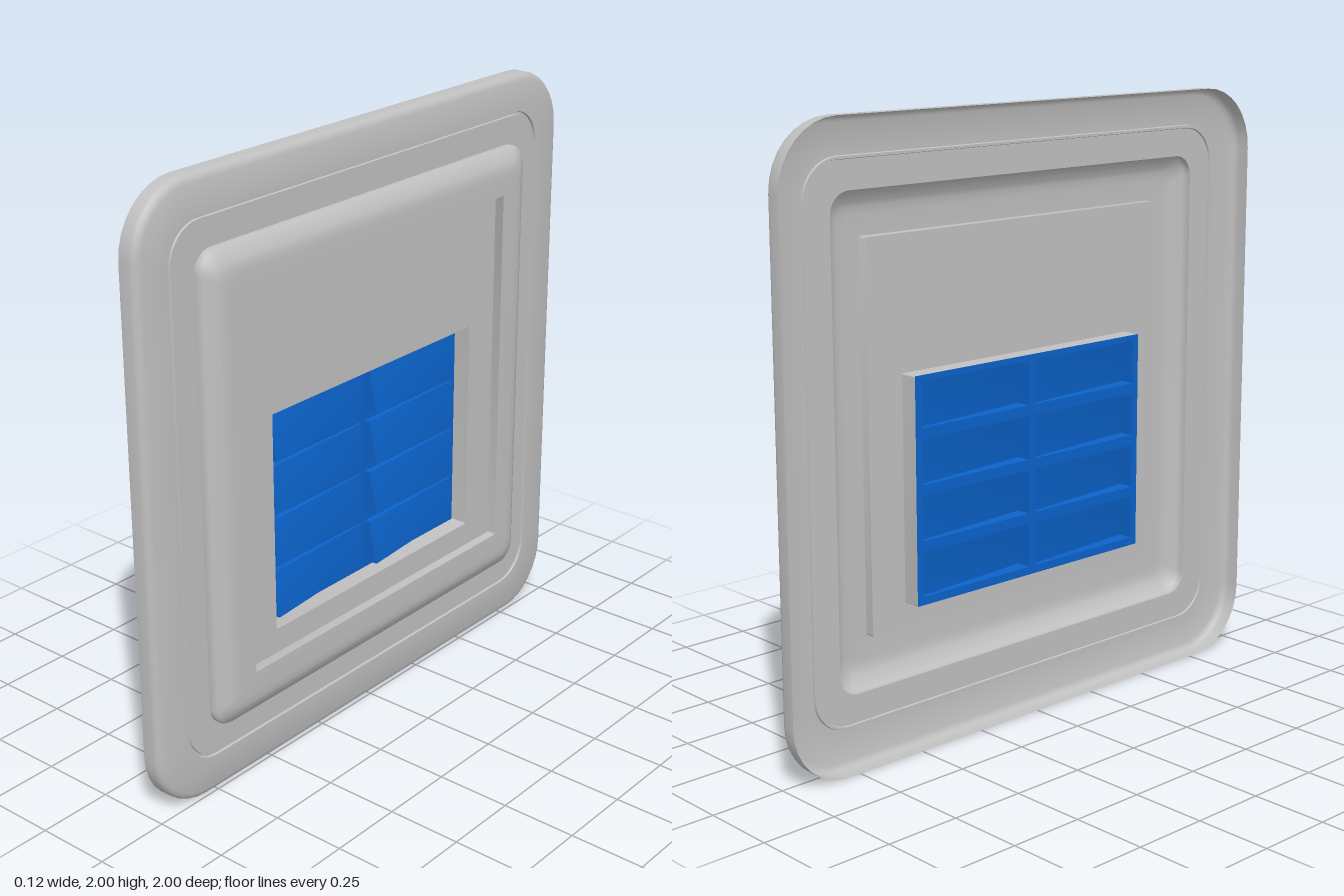
import * as THREE from 'three';
import { toCreasedNormals } from 'three/addons/utils/BufferGeometryUtils.js';

// Rounded rectangle in the plane x, counter-clockwise as seen from +x
function loop(halfZ, halfY, centreY, radius, x, steps = 8) {
  const points = [];
  for (let c = 0; c < 4; c++) {
    const su = c === 0 || c === 3 ? 1 : -1;
    const sv = c < 2 ? 1 : -1;
    for (let i = 0; i <= steps; i++) {
      const a = (c + i / steps) * Math.PI / 2;
      const u = su * (halfZ - radius) + radius * Math.cos(a);
      const v = sv * (halfY - radius) + radius * Math.sin(a);
      points.push(new THREE.Vector3(x, centreY + v, -u));
    }
  }
  return points;
}

// Sheet running through closed loops, from the outermost to the innermost
function loft(loops, cap = false) {
  const pos = [];
  const tri = (...pts) => pts.forEach((p) => pos.push(p.x, p.y, p.z));
  for (let k = 0; k < loops.length - 1; k++) {
    const a = loops[k], b = loops[k + 1], n = a.length;
    for (let i = 0; i < n; i++) {
      const j = (i + 1) % n;
      tri(a[i], a[j], b[j]);
      tri(a[i], b[j], b[i]);
    }
  }
  if (cap) {
    const e = loops[loops.length - 1];
    for (let i = 1; i < e.length - 1; i++) tri(e[0], e[i], e[i + 1]);
  }
  const geo = new THREE.BufferGeometry();
  geo.setAttribute('position', new THREE.Float32BufferAttribute(pos, 3));
  return toCreasedNormals(geo, 0.6);
}

export function createModel() {
  const grey = new THREE.MeshStandardMaterial({ color: 0xc0c0c0, side: THREE.DoubleSide });
  grey.name = 'panelGrey';
  const blue = new THREE.MeshStandardMaterial({ color: 0x0b63cb, side: THREE.DoubleSide });
  blue.name = 'louverBlue';

  const model = new THREE.Group();
  model.name = 'louveredPanel';
  const add = (parent, geo, mat, name) => {
    const mesh = new THREE.Mesh(geo, mat);
    mesh.name = name;
    parent.add(mesh);
    return mesh;
  };
  const square = (half, radius, x) => loop(half, half, 1.003, radius, x);
  const rim = (half, radius, x) => loop(half, half, 1, radius, x);

  // Outer flange with a rounded edge and a skirt open at the back
  add(model, loft([
    rim(1, 0.21, -0.063), rim(1, 0.21, -0.024), rim(0.997, 0.207, -0.014),
    rim(0.99, 0.2, -0.006), rim(0.976, 0.186, 0), square(0.876, 0.13, 0),
    square(0.874, 0.128, -0.008), square(0.866, 0.12, -0.008),
    square(0.864, 0.118, -0.002), square(0.773, 0.07, -0.002),
  ]), grey, 'outerFlange');

  // Raised centre with a bevelled, softened edge
  add(model, loft([
    square(0.773, 0.07, -0.002), square(0.773, 0.07, 0.016), square(0.767, 0.066, 0.026),
    square(0.73, 0.05, 0.049), square(0.715, 0.045, 0.054), square(0.69, 0.04, 0.056),
    loop(0.622, 0.622, 1.007, 0.006, 0.056),
  ]), grey, 'raisedCentre');

  // Shallow tray and the deeper pocket that holds the louvers
  add(model, loft([
    loop(0.622, 0.622, 1.007, 0.006, 0.056), loop(0.622, 0.622, 1.007, 0.006, 0.024),
    loop(0.49, 0.366, 0.834, 0.004, 0.024), loop(0.49, 0.366, 0.834, 0.004, -0.036),
  ]), grey, 'recessedTray');

  // Louver sheet, cut open behind every blade
  const baseX = -0.036;
  const louvers = new THREE.Group();
  louvers.name = 'louvers';
  model.add(louvers);
  const sheet = new THREE.Shape([
    new THREE.Vector2(-0.49, 0.468), new THREE.Vector2(0.49, 0.468),
    new THREE.Vector2(0.49, 1.2), new THREE.Vector2(-0.49, 1.2),
  ]);

  for (let row = 0; row < 4; row++) {
    for (const u0 of [-0.465, 0.015]) {
      const u1 = u0 + 0.45;
      const y0 = 0.495 + row * 0.18;
      const y1 = y0 + 0.145;
      const corners = [[u0, y0], [u1, y0], [u1, y1], [u0, y1]];
      sheet.holes.push(new THREE.Path(corners.map(([u, y]) => new THREE.Vector2(u, y))));
      // Blade stands out most at its lower left corner
      const depth = [0.05, 0.014, 0.008, 0.02];
      const base = corners.map(([u, y]) => new THREE.Vector3(baseX, y, -u));
      const face = corners.map(([u, y], i) => new THREE.Vector3(baseX + depth[i], y, -u));
      add(louvers, loft([base, face], true), blue, 'louverBlade');
    }
  }
  const sheetGeo = new THREE.ShapeGeometry(sheet);
  sheetGeo.rotateY(Math.PI / 2);
  sheetGeo.translate(baseX, 0, 0);
  add(louvers, sheetGeo, blue, 'louverSheet');

  return model;
}
